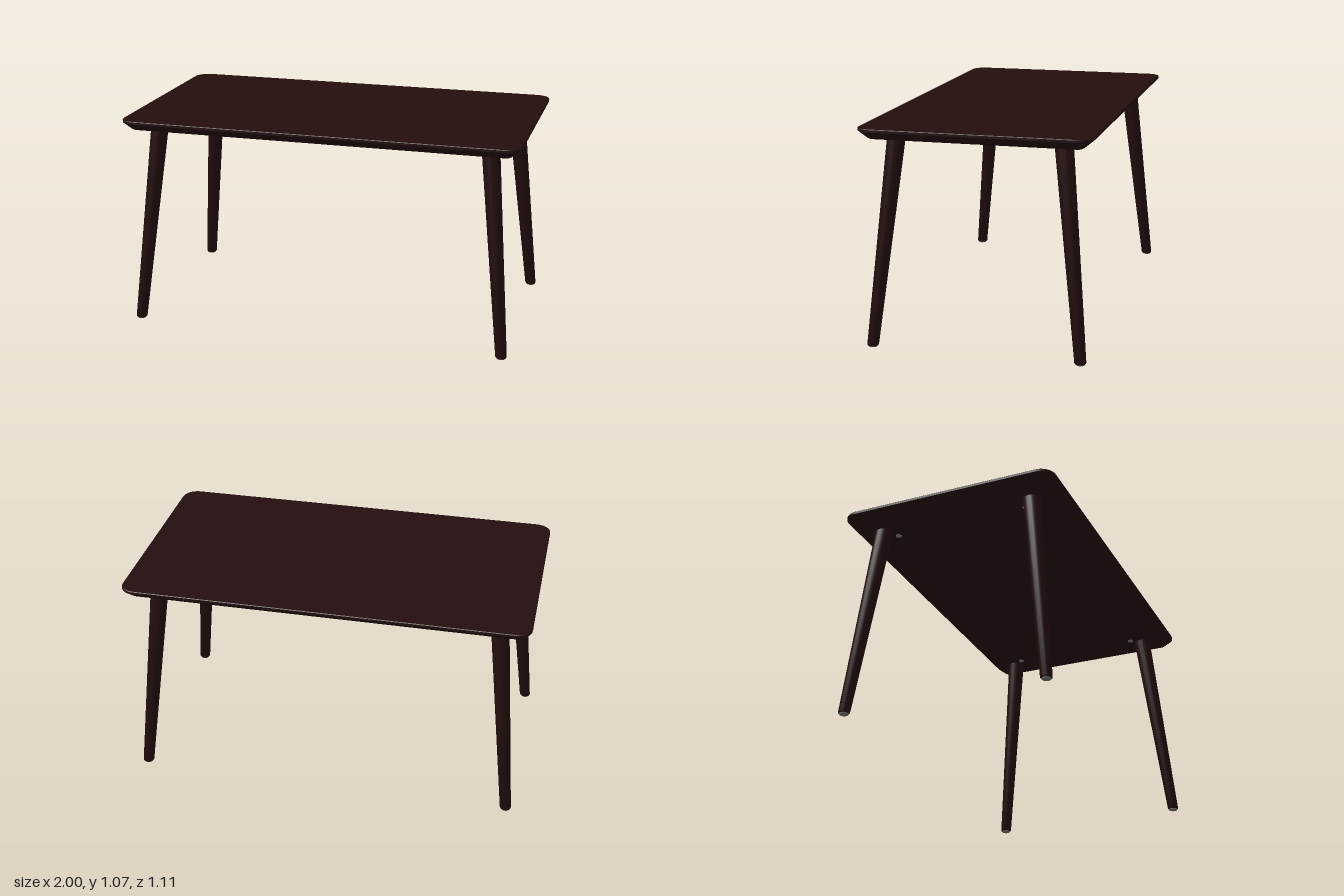
import * as THREE from 'three';
import { toCreasedNormals } from 'three/addons/utils/BufferGeometryUtils.js';

const HALF_X = 1, HALF_Z = 0.555, TOP_Y = 1.065, UNDER_Y = 1.01, CORNER = 0.075;

// Outline of a rounded rectangle, shrunk by inset around fixed corner centres
function ring(inset, y) {
  const pts = [], r = CORNER - inset, steps = 10;
  const signs = [[1, 1], [-1, 1], [-1, -1], [1, -1]];
  signs.forEach(([sx, sz], q) => {
    for (let i = 0; i <= steps; i++) {
      const a = (q + i / steps) * Math.PI / 2;
      pts.push([
        sx * (HALF_X - CORNER) + r * Math.cos(a), y,
        sz * (HALF_Z - CORNER) + r * Math.sin(a),
      ]);
    }
  });
  return pts;
}

// Table top: stacked outlines, undercut towards the bottom, closed by two caps
function topGeometry() {
  const profile = [[0.003, TOP_Y], [0, TOP_Y - 0.003], [0, 1.051], [0.044, 1.015], [0.054, UNDER_Y]];
  const rings = profile.map(([inset, y]) => ring(inset, y));
  const n = rings[0].length, pos = [];
  const tri = (...p) => p.forEach((v) => pos.push(...v));
  const last = rings[rings.length - 1];
  for (let i = 0; i < n; i++) {
    const j = (i + 1) % n;
    tri([0, TOP_Y, 0], rings[0][j], rings[0][i]);
    tri([0, UNDER_Y, 0], last[i], last[j]);
    for (let k = 0; k < rings.length - 1; k++) {
      const a = rings[k], b = rings[k + 1];
      tri(a[i], a[j], b[i]);
      tri(a[j], b[j], b[i]);
    }
  }
  const g = new THREE.BufferGeometry();
  g.setAttribute('position', new THREE.Float32BufferAttribute(pos, 3));
  return toCreasedNormals(g, 0.4);
}

// Tapered leg, sheared so that it splays outwards but keeps level ends
function legGeometry(foot, head, y0, y1) {
  const h = y1 - y0;
  const profile = [[0, 0], [0.025, 0], [0.028, 0.005], [0.044, h], [0, h]];
  const g = new THREE.LatheGeometry(profile.map(([x, y]) => new THREE.Vector2(x, y)), 32);
  const p = g.attributes.position;
  for (let i = 0; i < p.count; i++) {
    const t = p.getY(i) / h;
    p.setXYZ(i,
      p.getX(i) + THREE.MathUtils.lerp(foot.x, head.x, t),
      p.getY(i) + y0,
      p.getZ(i) + THREE.MathUtils.lerp(foot.y, head.y, t));
  }
  return toCreasedNormals(g, 0.6);
}

export function createModel() {
  const wood = new THREE.MeshStandardMaterial({ color: 0x240e0e });
  wood.name = 'darkWood';
  const metal = new THREE.MeshStandardMaterial({ color: 0x77726f });
  metal.name = 'greyMetal';

  const model = new THREE.Group();
  model.name = 'table';
  const add = (name, geometry, material, parent = model) => {
    const mesh = new THREE.Mesh(geometry, material);
    mesh.name = name;
    parent.add(mesh);
    return mesh;
  };

  add('tableTop', topGeometry(), wood);

  for (const sz of [1, -1]) {
    for (const sx of [1, -1]) {
      const corner = (sz > 0 ? 'front' : 'back') + (sx > 0 ? 'Left' : 'Right');
      const assembly = new THREE.Group();
      assembly.name = corner + 'LegAssembly';
      model.add(assembly);

      const foot = new THREE.Vector2(sx * 0.945, sz * 0.507);
      const head = new THREE.Vector2(sx * 0.842, sz * 0.4);
      add(corner + 'Leg', legGeometry(foot, head, 0.005, UNDER_Y + 0.003), wood, assembly);

      // Glide under the foot
      add(corner + 'FootGlide', new THREE.CylinderGeometry(0.023, 0.021, 0.008, 24), metal, assembly)
        .position.set(foot.x, 0.004, foot.y);

      // Fixing bolt beside the leg, under the top
      add(corner + 'Bolt', new THREE.CylinderGeometry(0.016, 0.014, 0.006, 20), metal, assembly)
        .position.set(sx * 0.79, UNDER_Y - 0.002, sz * 0.345);
    }
  }
  return model;
}
